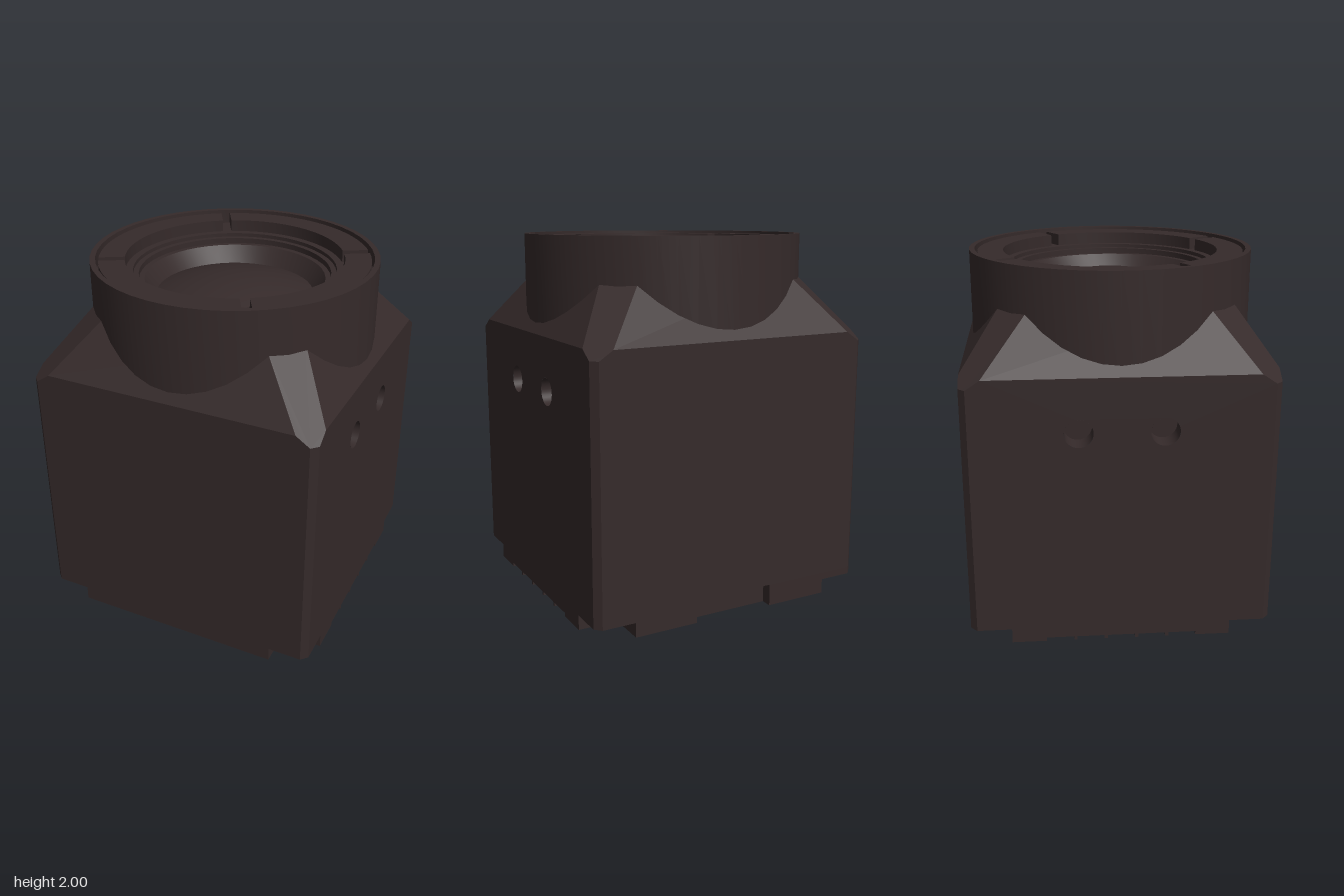
import * as THREE from 'three';
import { toCreasedNormals } from 'three/addons/utils/BufferGeometryUtils.js';

const mat = new THREE.MeshStandardMaterial({ color: 0x352a2a });
const matDouble = new THREE.MeshStandardMaterial({ color: 0x352a2a, side: THREE.DoubleSide });

const W = 0.81;      // half width of the housing
const C = 0.775;     // where the vertical corner chamfer starts
const BASE = 0.12;   // underside of the main walls

export function createModel() {
  const model = new THREE.Group();

  const add = (name, geometry, parent = model, material = mat) => {
    const mesh = new THREE.Mesh(geometry, material);
    mesh.name = name;
    parent.add(mesh);
    return mesh;
  };
  const shapeOf = (pts) => new THREE.Shape(pts.map(([x, y]) => new THREE.Vector2(x, y)));
  const circle = (x, y, r) => new THREE.Path().absarc(x, y, r, 0, Math.PI * 2, true);
  // horizontal slab between two heights; shape y points to -z
  const slab = (shape, y0, y1) => toCreasedNormals(
    new THREE.ExtrudeGeometry(shape, { depth: y1 - y0, bevelEnabled: false, curveSegments: 12 })
      .rotateX(-Math.PI / 2).translate(0, y0, 0), 0.6);
  // flat convex polygon, counter-clockwise from outside
  const polygon = (pts) => {
    const index = [];
    for (let i = 1; i < pts.length - 1; i++) index.push(0, i, i + 1);
    const g = new THREE.BufferGeometry();
    g.setAttribute('position', new THREE.Float32BufferAttribute(pts.flat(), 3));
    g.setIndex(index);
    g.computeVertexNormals();
    return g;
  };
  const lathe = (pts) => toCreasedNormals(
    new THREE.LatheGeometry(pts.map(([r, y]) => new THREE.Vector2(r, y)), 48), 0.5);

  // Four walls with sloped shoulders and chamfered corners
  for (let k = 0; k < 4; k++) {
    const side = new THREE.Group();
    side.name = 'housingSide';
    side.rotation.y = k * Math.PI / 2;
    model.add(side);

    const wall = shapeOf([[-C, BASE], [C, BASE], [C, 1.43], [0.7, 1.48], [-0.7, 1.48], [-C, 1.43]]);
    if (k % 2) {
      for (const x of [-0.22, 0.22]) {
        wall.holes.push(circle(x, 1.19, 0.075));
        add('sideHole', new THREE.CylinderGeometry(0.075, 0.075, 0.12, 32, 1, true)
          .rotateX(Math.PI / 2).translate(x, 1.19, W - 0.06), side, matDouble);
        add('sideHoleFloor', new THREE.CircleGeometry(0.075, 32).translate(x, 1.19, W - 0.12), side);
      }
    }
    add('wall', new THREE.ShapeGeometry(wall, 32).translate(0, 0, W), side);
    add('shoulder', polygon([[-0.7, 1.48, W], [0.7, 1.48, W],
      [0.447, 1.79, 0.5915], [-0.447, 1.79, 0.5915]]), side);
    add('cornerShoulder', polygon([[C, 1.43, W], [W, 1.43, C], [W, 1.48, 0.7],
      [0.5915, 1.79, 0.447], [0.447, 1.79, 0.5915], [0.7, 1.48, W]]), side);
    add('cornerChamfer', polygon([[C, BASE, W], [W, BASE, C], [W, 1.43, C], [C, 1.43, W]]), side);
  }

  // Base plate with the rear connector recess and corner screw holes
  const octagon = [[-C, -W], [C, -W], [W, -C], [W, C], [C, W], [-C, W], [-W, C], [-W, -C]];
  add('housingFloor', new THREE.ShapeGeometry(shapeOf(octagon))
    .rotateX(-Math.PI / 2).translate(0, BASE, 0), model, matDouble);
  const plate = shapeOf([...octagon.slice(0, 5), [0.23, W], [0.23, 0.75], [-0.23, 0.75], [-0.23, W],
    ...octagon.slice(5)]);
  for (const x of [-0.7, 0.7]) for (const y of [-0.7, 0.7]) plate.holes.push(circle(x, y, 0.055));
  add('basePlate', slab(plate, 0.08, BASE));

  // Front and rear lands, cut away around the corner screws
  for (const s of [-1, 1]) {
    const land = new THREE.Shape();
    land.moveTo(-W, s * 0.405);
    land.lineTo(W, s * 0.405);
    land.lineTo(W, s * 0.59);
    land.lineTo(0.65, s * 0.59);
    land.quadraticCurveTo(0.59, s * 0.59, 0.59, s * 0.65);
    land.lineTo(0.59, s * W);
    if (s > 0) for (const [x, y] of [[0.23, W], [0.23, 0.75], [-0.23, 0.75], [-0.23, W]]) land.lineTo(x, y);
    land.lineTo(-0.59, s * W);
    land.lineTo(-0.59, s * 0.65);
    land.quadraticCurveTo(-0.59, s * 0.59, -0.65, s * 0.59);
    land.lineTo(-W, s * 0.59);
    add(s > 0 ? 'rearLand' : 'frontLand', slab(land, 0, 0.08));
  }

  // Grooved middle of the underside
  add('grooveBed', new THREE.BoxGeometry(2 * W, 0.06, 0.81).translate(0, 0.05, 0));
  for (const z of [-0.248, -0.083, 0.083, 0.248]) {
    add('grooveRib', new THREE.BoxGeometry(2 * W, 0.02, 0.018).translate(0, 0.01, z));
  }

  // Lens barrel with stepped bore
  add('lensBarrel', lathe([[0.775, 1.4], [0.775, 2], [0.745, 2], [0.745, 1.92], [0.55, 1.92],
    [0.55, 1.9], [0.52, 1.9], [0.52, 1.87], [0.49, 1.87], [0.43, 1.78]]));

  // Retaining ring in four pieces, separated by spanner slots
  const rIn = 0.59, rOut = 0.73, gap = 0.025;
  const aIn = Math.asin(gap / rIn), aOut = Math.asin(gap / rOut);
  for (let k = 0; k < 4; k++) {
    const a = Math.PI / 6 + k * Math.PI / 2, b = a + Math.PI / 2;
    const piece = new THREE.Shape();
    piece.absarc(0, 0, rOut, a + aOut, b - aOut, false);
    piece.absarc(0, 0, rIn, b - aIn, a + aIn, true);
    add('retainingRing', slab(piece, 1.92, 1.985));
  }

  // Domed lens
  const dome = [];
  for (let i = 0; i <= 10; i++) {
    const r = 0.43 * (1 - i / 10);
    dome.push([r, 1.78 + 0.09 * (1 - (r / 0.43) ** 2)]);
  }
  add('lens', lathe(dome));

  return model;
}
